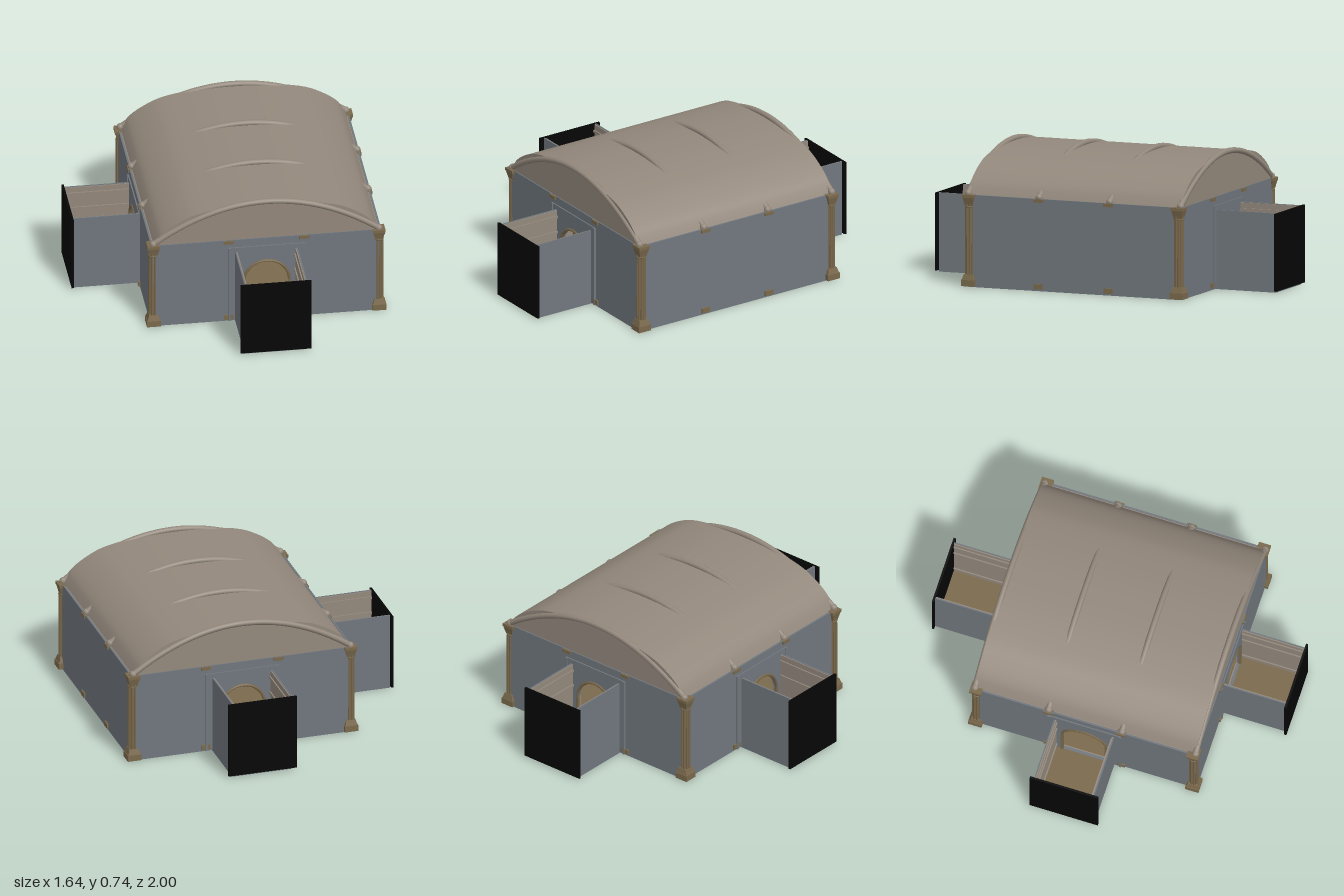
import * as THREE from 'three';

const mat = (name, color) => new THREE.MeshStandardMaterial({ name, color });

export function createModel() {
  const grey = mat('greyPlaster', 0x70777d);
  const stone = mat('warmStone', 0x93887c);
  const tan = mat('tanStone', 0x7a694c);
  const black = mat('blackPortal', 0x060606);

  const model = new THREE.Group();
  model.name = 'vaultedHall';
  const hall = new THREE.Group();
  hall.name = 'hall';
  hall.position.x = 0.1725;
  model.add(hall);

  const HX = 0.625, HZ = 0.632, WALL = 0.5;

  function add(parent, name, geometry, material, x = 0, y = 0, z = 0) {
    const mesh = new THREE.Mesh(geometry, material);
    mesh.name = name;
    mesh.position.set(x, y, z);
    parent.add(mesh);
    return mesh;
  }
  const box = (parent, name, material, w, h, d, x, y, z) =>
    add(parent, name, new THREE.BoxGeometry(w, h, d), material, x, y, z);

  // Flat panel in the xy plane, with an optional arched doorway
  function panel(halfWidth, top, depth, door) {
    const s = new THREE.Shape();
    s.moveTo(-halfWidth, 0.005).lineTo(halfWidth, 0.005).lineTo(halfWidth, top).lineTo(-halfWidth, top);
    s.closePath();
    if (door) {
      const h = new THREE.Path();
      h.moveTo(-0.12, 0.016).lineTo(-0.12, 0.24);
      h.absarc(0, 0.24, 0.12, Math.PI, 0, true);
      h.lineTo(0.12, 0.016);
      h.closePath();
      s.holes.push(h);
    }
    return new THREE.ExtrudeGeometry(s, { depth, bevelEnabled: false, curveSegments: 12 });
  }

  // Floor of the hall
  box(hall, 'foundation', grey, 2 * HX, 0.01, 2 * HZ, 0, 0.005, 0);
  box(hall, 'hallFloor', tan, 2 * HX - 0.02, 0.005, 2 * HZ - 0.02, 0, 0.0125, 0);

  // One side of the hall, facing +z before it is turned
  function side(name, angle, dist, halfWidth, door) {
    const g = new THREE.Group();
    g.name = name;
    g.rotation.y = angle;
    hall.add(g);
    add(g, 'outerWall', panel(halfWidth, WALL, 0.01, door), grey, 0, 0, dist - 0.01);
    add(g, 'innerLining', panel(halfWidth - 0.012, WALL - 0.003, 0.006, door), stone, 0, 0, dist - 0.016);

    // Slim inner pilasters whose blocks show through the wall
    for (const sx of [-1, 1]) {
      const x = sx * 0.205;
      box(g, 'pilasterBase', tan, 0.05, 0.028, 0.05, x, 0.024, dist - 0.016);
      box(g, 'pilasterCapital', tan, 0.055, 0.018, 0.05, x, 0.49, dist - 0.016);
      add(g, 'pilasterShaft', new THREE.CylinderGeometry(0.014, 0.016, 0.45, 8), tan, x, 0.26, dist - 0.032);
    }
    if (!door) return;

    // Raised doorway surround and arch ring
    add(g, 'doorSurround', panel(0.2, 0.455, 0.007, true), grey, 0, 0, dist);
    add(g, 'archRing', new THREE.TorusGeometry(0.124, 0.008, 6, 20, Math.PI), tan, 0, 0.24, dist + 0.007);
    for (const sx of [-1, 1]) {
      box(g, 'surroundEdge', grey, 0.012, 0.45, 0.012, sx * 0.202, 0.23, dist + 0.006);
      box(g, 'doorJamb', tan, 0.014, 0.225, 0.014, sx * 0.124, 0.1275, dist + 0.005);
    }

    // Open-topped passage ending in a black portal
    const len = 0.356, mid = dist + len / 2;
    box(g, 'passageSlab', grey, 0.34, 0.01, len, 0, 0.005, mid);
    box(g, 'passageFloor', tan, 0.32, 0.005, len, 0, 0.0125, mid);
    for (const sx of [-1, 1]) {
      box(g, 'passageWall', grey, 0.007, 0.42, len, sx * 0.1665, 0.22, mid);
      box(g, 'passageLining', stone, 0.006, 0.415, len, sx * 0.16, 0.22, mid);
      for (const y of [0.06, 0.3, 0.39])
        box(g, 'passageRail', stone, 0.008, 0.014, len, sx * 0.154, y, mid);
    }
    box(g, 'portalPlate', black, 0.385, 0.422, 0.012, 0, 0.22, dist + len + 0.006);
  }
  side('frontSide', 0, HZ, HX, true);
  side('backSide', Math.PI, HZ, HX, true);
  side('rightSide', -Math.PI / 2, HX, HZ, true);
  side('leftSide', Math.PI / 2, HX, HZ, false);

  // Corner columns with clustered shafts
  function column(x, z) {
    const g = new THREE.Group();
    g.name = 'cornerColumn';
    g.position.set(x, 0, z);
    hall.add(g);
    const flare = (name, top, bottom, h, y) => {
      const geo = new THREE.CylinderGeometry(top * Math.SQRT2, bottom * Math.SQRT2, h, 4, 1).toNonIndexed();
      geo.rotateY(Math.PI / 4);
      geo.computeVertexNormals();
      add(g, name, geo, tan, 0, y, 0);
    };
    box(g, 'plinth', tan, 0.076, 0.034, 0.076, 0, 0.022, 0);
    flare('baseTaper', 0.026, 0.035, 0.03, 0.054);
    add(g, 'shaftCore', new THREE.CylinderGeometry(0.02, 0.021, 0.4, 12), tan, 0, 0.265, 0);
    for (let i = 0; i < 8; i++) {
      const a = (i / 8) * Math.PI * 2 + Math.PI / 8;
      add(g, 'shaftRib', new THREE.CylinderGeometry(0.006, 0.007, 0.4, 6), tan,
        Math.cos(a) * 0.0205, 0.265, Math.sin(a) * 0.0205);
    }
    const collar = new THREE.TorusGeometry(0.025, 0.004, 6, 12);
    collar.rotateX(Math.PI / 2);
    add(g, 'collar', collar, tan, 0, 0.436, 0);
    flare('capitalFlare', 0.032, 0.021, 0.045, 0.463);
    box(g, 'abacus', tan, 0.068, 0.016, 0.068, 0, 0.493, 0);
  }
  for (const sx of [-1, 1]) for (const sz of [-1, 1]) column(sx * 0.612, sz * 0.612);

  // Vaulted roof: smooth shell swept along z
  const half = [[0.61, 0.497], [0.595, 0.525], [0.572, 0.56], [0.53, 0.597], [0.46, 0.64],
    [0.39, 0.67], [0.27, 0.695], [0.14, 0.711]];
  const profile = [...half.map(([x, y]) => [-x, y]), [0, 0.715], ...half.slice().reverse()];
  const curve = new THREE.CatmullRomCurve3(profile.map(([x, y]) => new THREE.Vector3(x, y, 0)));
  const pts = curve.getPoints(48);
  const RZ = 0.626;
  const pos = [], index = [];
  pts.forEach((p, i) => {
    pos.push(p.x, p.y, RZ, p.x, p.y, -RZ);
    if (i) {
      const a = 2 * i - 2;
      index.push(a, a + 2, a + 1, a + 1, a + 2, a + 3);
    }
  });
  const vault = new THREE.BufferGeometry();
  vault.setAttribute('position', new THREE.Float32BufferAttribute(pos, 3));
  vault.setIndex(index);
  vault.computeVertexNormals();
  stone.side = THREE.DoubleSide;
  add(hall, 'roofVault', vault, stone);

  // Gable ends under the vault
  const gable = new THREE.ShapeGeometry(new THREE.Shape(pts.map(p => new THREE.Vector2(p.x, p.y))));
  for (const sz of [-1, 1]) add(hall, 'gable', gable, stone, 0, 0, sz * RZ);

  // Arched ribs that break through the crown of the roof
  const arch = [];
  for (let i = 0; i <= 16; i++) {
    const u = i / 8 - 1;
    arch.push(new THREE.Vector3(u * 0.612, 0.507 + 0.216 * (1 - u * u), 0));
  }
  const rib = new THREE.TubeGeometry(new THREE.CatmullRomCurve3(arch), 48, 0.016, 10);
  const knob = new THREE.SphereGeometry(0.02, 12, 8);
  for (const z of [-0.622, -0.207, 0.207, 0.622]) {
    add(hall, 'roofRib', rib, stone, 0, 0, z);
    for (const sx of [-1, 1]) add(hall, 'ribFoot', knob, stone, sx * 0.612, 0.507, z);
  }
  return model;
}
